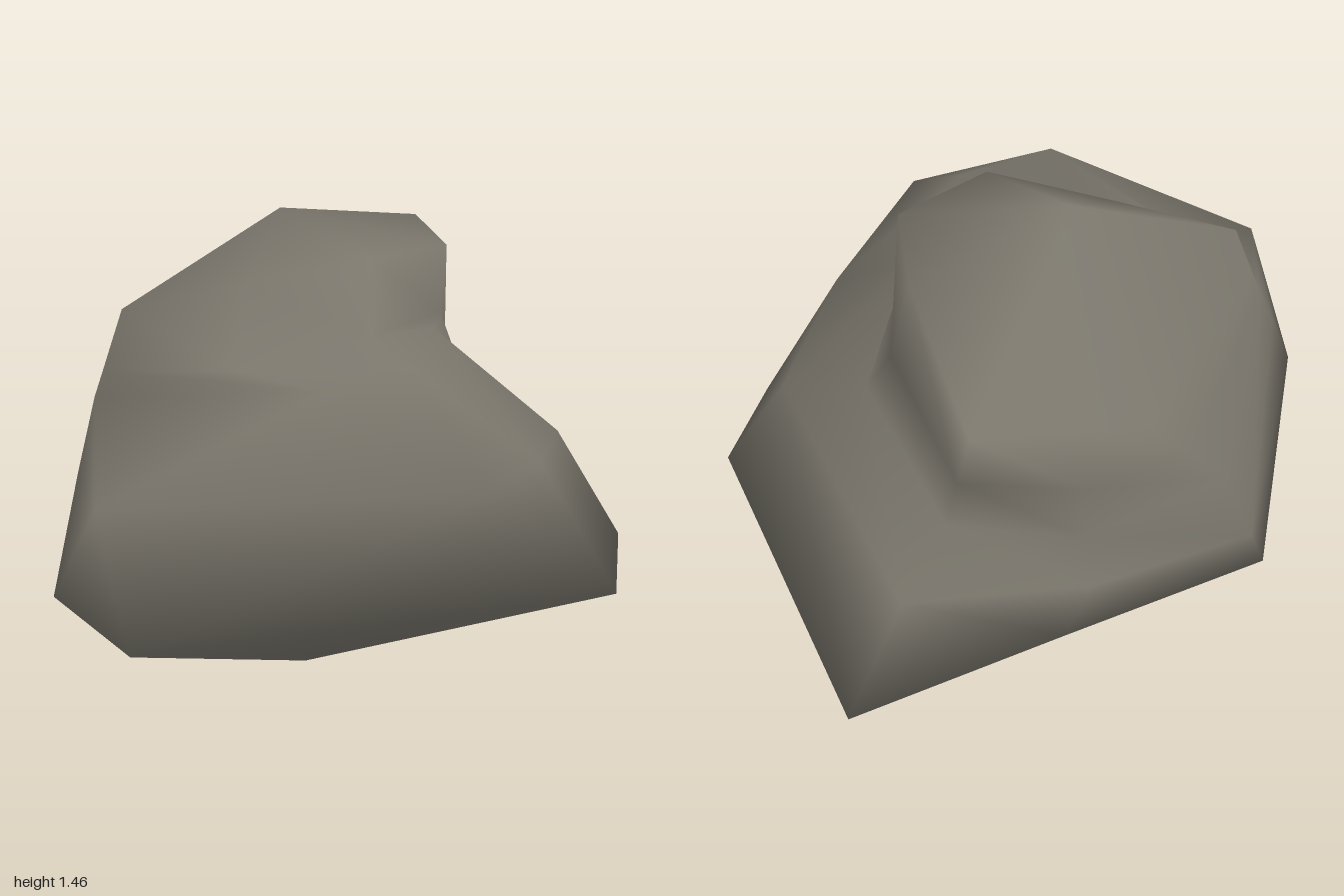
import * as THREE from 'three';
import { mergeVertices } from 'three/addons/utils/BufferGeometryUtils.js';

// Each cross-section has eight corners, running from the back right
// round the front to the back.
const KEEL_BACK = [-0.07, 0, -0.28];
const KEEL_FRONT = [-0.07, 0, -0.05];
const PEAK = [-0.04, 1.46, -0.26];

const keel = [KEEL_BACK, KEEL_FRONT, KEEL_FRONT, KEEL_FRONT,
  KEEL_FRONT, KEEL_BACK, KEEL_BACK, KEEL_BACK];
const rim = [[1, 0.38, -0.97], [0.91, 0.38, 0.31], [0.64, 0.31, 0.68], [-0.03, 0.31, 0.62],
  [-0.97, 0.31, 0.49], [-1, 0.38, 0.03], [-0.37, 0.49, -0.96], [0.3, 0.44, -0.965]];
const belt = [[0.8, 0.72, -0.92], [0.75, 0.72, 0.18], [0.4, 0.75, 0.6], [-0.03, 0.79, 0.97],
  [-1, 0.72, 0.33], [-0.83, 0.71, -0.14], [-0.33, 0.6, -0.95], [0.2, 0.58, -0.94]];
const shoulder = [[0.61, 0.86, -0.8], [0.56, 0.82, -0.06], [0.3, 1.1, 0.13], [-0.03, 1.075, 0.55],
  [-0.37, 1.06, 0.59], [-0.72, 0.92, -0.24], [-0.24, 0.84, -0.93], [0.2, 0.72, -0.875]];
const neck = [[0.57, 1, -0.8], [0.5, 0.97, -0.12], [0.35, 1.14, 0.09], [0.01, 1.125, 0.24],
  [-0.36, 1.01, 0], [-0.69, 1, -0.24], [-0.12, 0.97, -0.92], [0.2, 0.9, -0.865]];
const crown = [[0.526, 1.14, -0.79], [0.52, 1.38, -0.34], [0.39, 1.35, 0.06], [0.05, 1.35, 0.16],
  [-0.29, 1.27, -0.04], [-0.62, 1.19, -0.24], [0, 1.1, -0.905], [0.26, 1.12, -0.848]];
const peak = crown.map(() => PEAK);

// Facets (section, corner) whose ridge runs the other way across
const CROSSED = ['1,3', '1,4', '2,5'];

// Skin neighbouring cross-sections, leaving out collapsed triangles.
function loft(rings) {
  const positions = [];
  const triangle = (a, b, c) => {
    if (a !== b && b !== c && c !== a) positions.push(...a, ...b, ...c);
  };
  for (let i = 0; i < rings.length - 1; i++) {
    const low = rings[i], high = rings[i + 1];
    for (let j = 0; j < low.length; j++) {
      const k = (j + 1) % low.length;
      if (CROSSED.includes(`${i},${j}`)) {
        triangle(low[j], high[j], low[k]);
        triangle(high[j], high[k], low[k]);
      } else {
        triangle(low[j], high[j], high[k]);
        triangle(low[j], high[k], low[k]);
      }
    }
  }
  const geometry = new THREE.BufferGeometry();
  geometry.setAttribute('position', new THREE.Float32BufferAttribute(positions, 3));
  const smooth = mergeVertices(geometry);
  smooth.computeVertexNormals();
  return smooth;
}

export function createModel() {
  const stone = new THREE.MeshStandardMaterial({ color: 0x7a766c });
  stone.name = 'stone';

  // One continuous boulder: wide faceted base with a raised lump behind
  const boulder = new THREE.Mesh(loft([keel, rim, belt, shoulder, neck, crown, peak]), stone);
  boulder.name = 'boulder';

  const group = new THREE.Group();
  group.name = 'rock';
  group.add(boulder);
  return group;
}
